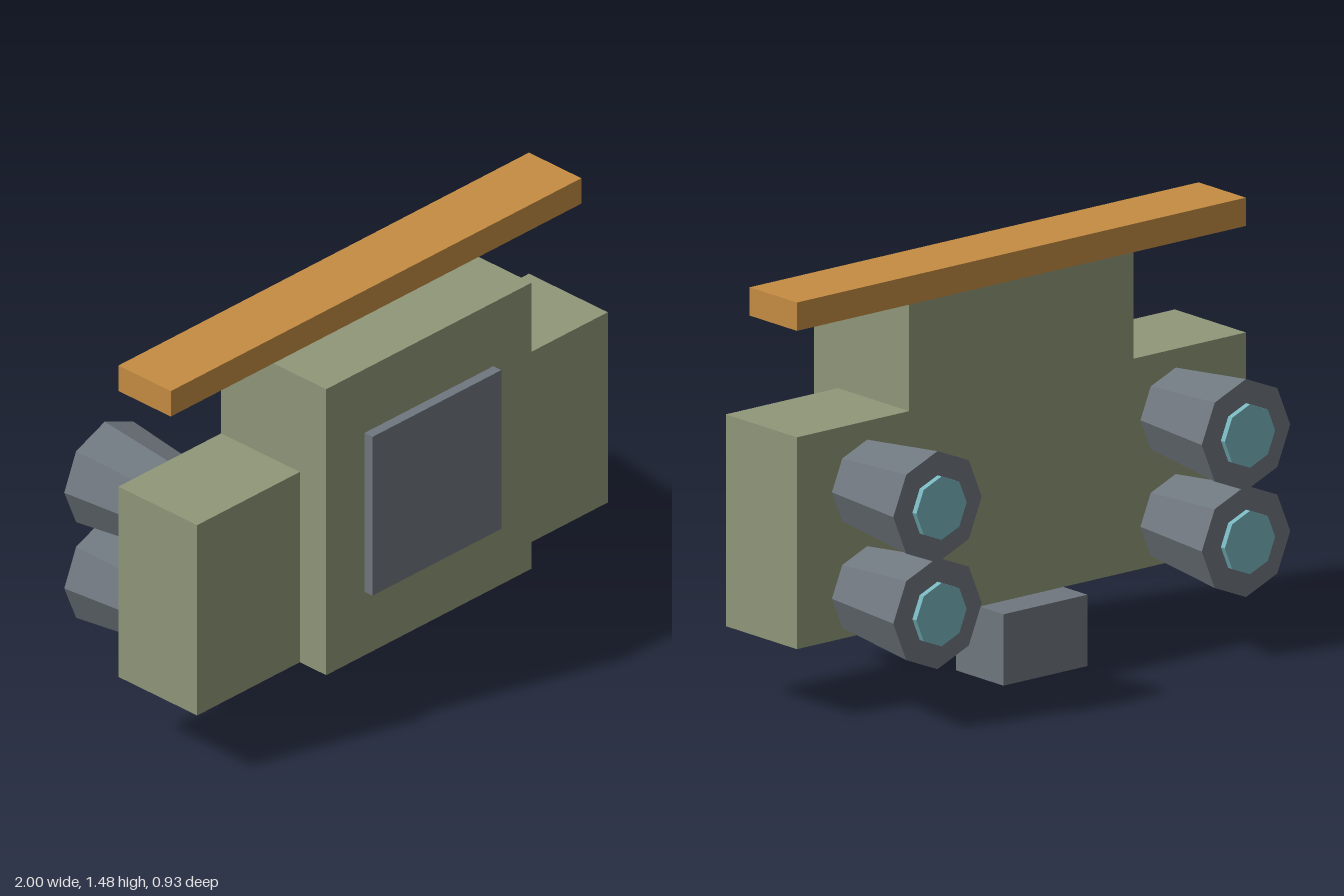
import * as THREE from 'three';

const mat = (name, color, flatShading = false) => {
  const m = new THREE.MeshStandardMaterial({ color, flatShading });
  m.name = name;
  return m;
};

export function createModel() {
  const green = mat('sage green', 0x8f9779);
  const grey = mat('slate grey', 0x6f777e, true);
  const orange = mat('orange', 0xc48c42);
  const cyan = mat('pale cyan', 0x78b6be, true);
  const model = new THREE.Group();
  model.name = 'thrusterPack';

  // Box given by its extents on each axis
  const box = (name, material, [x0, x1], [y0, y1], [z0, z1]) => {
    const mesh = new THREE.Mesh(new THREE.BoxGeometry(x1 - x0, y1 - y0, z1 - z0), material);
    mesh.position.set((x0 + x1) / 2, (y0 + y1) / 2, (z0 + z1) / 2);
    mesh.name = name;
    model.add(mesh);
  };

  // Octagonal frustum running backwards along z, with a corner on top
  const octagon = (name, material, rFront, rBack, zFront, zBack) => {
    const g = new THREE.CylinderGeometry(rBack, rFront, zFront - zBack, 8);
    g.rotateX(-Math.PI / 2).translate(0, 0, (zFront + zBack) / 2);
    const mesh = new THREE.Mesh(g, material);
    mesh.name = name;
    return mesh;
  };

  // Pack body, crossbar, front panel and lower block
  box('body', green, [-0.5, 0.5], [0.252, 1.376], [-0.073, 0.425]);
  box('leftSidePod', green, [0.5, 1], [0.252, 1], [-0.073, 0.3]);
  box('rightSidePod', green, [-1, -0.5], [0.252, 1], [-0.073, 0.3]);
  box('crossbar', orange, [-1, 1], [1.376, 1.476], [-0.073, 0.175]);
  box('frontPanel', grey, [-0.314, 0.314], [0.502, 1.126], [0.425, 0.463]);
  box('lowerBlock', grey, [-0.187, 0.187], [0, 0.252], [-0.199, 0.051]);

  // Two stacked thrusters on each side
  for (const side of [1, -1]) {
    for (const [row, y] of [['upper', 0.777], ['lower', 0.401]]) {
      const thruster = new THREE.Group();
      thruster.name = `${row}${side > 0 ? 'Left' : 'Right'}Thruster`;
      thruster.add(octagon('nozzle', grey, 0.157, 0.197, -0.073, -0.442));
      thruster.add(octagon('nozzleGlow', cyan, 0.112, 0.112, -0.442, -0.463));
      thruster.position.set(side * 0.687, y, 0);
      model.add(thruster);
    }
  }
  return model;
}
